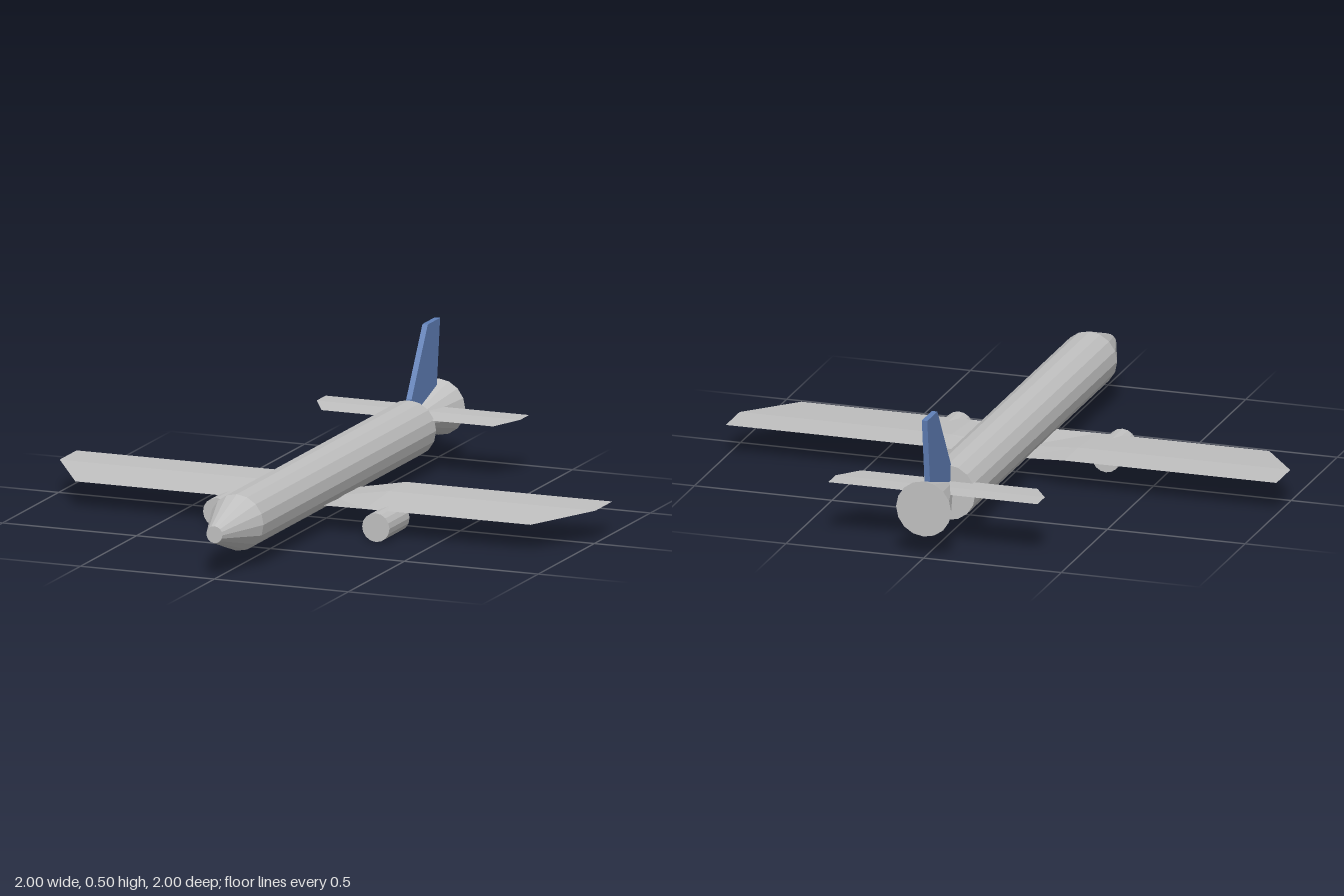
import * as THREE from 'three';

const grey = new THREE.MeshStandardMaterial({ color: 0xc0c0c0, flatShading: true });
grey.name = 'bodyGrey';
const sheetGrey = grey.clone();
sheetGrey.name = 'wingGrey';
sheetGrey.side = THREE.DoubleSide;
const blue = new THREE.MeshStandardMaterial({ color: 0x6080b8, flatShading: true });
blue.name = 'finBlue';

function named(name, geometry, material) {
  const mesh = new THREE.Mesh(geometry, material);
  mesh.name = name;
  return mesh;
}

// Round section along z, from zBack to zFront, centred on (x, y)
function tube(name, x, y, zBack, zFront, rBack, rFront, sides = 16) {
  const g = new THREE.CylinderGeometry(rFront, rBack, zFront - zBack, sides);
  g.rotateX(Math.PI / 2).translate(x, y, (zBack + zFront) / 2);
  return named(name, g, grey);
}

// Thin lifting surface: each station is [x, then z, y at leading edge, crease and trailing edge]
function wing(name, side, stations) {
  const pos = [];
  const index = [];
  for (const [x, ...zy] of stations) {
    for (let k = 0; k < 3; k++) pos.push(side * x, zy[2 * k + 1], zy[2 * k]);
  }
  for (let i = 0; i < stations.length - 1; i++) {
    for (let k = 0; k < 2; k++) {
      const a = i * 3 + k, b = a + 1, c = a + 3, d = a + 4;
      const tris = [[a, c, b], [c, d, b]];
      for (const [p, q, r] of tris) index.push(...(side > 0 ? [p, q, r] : [p, r, q]));
    }
  }
  let g = new THREE.BufferGeometry();
  g.setAttribute('position', new THREE.Float32BufferAttribute(pos, 3));
  g.setIndex(index);
  g = g.toNonIndexed();
  g.computeVertexNormals();
  return named(name, g, sheetGrey);
}

export function createModel() {
  const plane = new THREE.Group();
  plane.name = 'airplane';

  // Body, nose and flared tail cone
  plane.add(
    tube('fuselage', 0, 0.157, -0.74, 0.8, 0.1, 0.1),
    tube('nose', 0, 0.157, 0.8, 1, 0.1, 0.03),
    tube('tailCone', 0, 0.178, -1, -0.74, 0.1, 0.02),
  );

  // Wings, tailplanes and engines, mirrored
  const wingStations = [
    [0.03, 0.21, 0.096, 0.03, 0.088, -0.1, 0.086],
    [0.23, 0.21, 0.098, -0.01, 0.114, -0.16, 0.114],
    [0.85, 0.21, 0.098, -0.01, 0.114, -0.16, 0.114],
    [1, -0.01, 0.114, -0.01, 0.114, -0.16, 0.114],
  ];
  const tailStations = [
    [0, -0.72, 0.197, -0.82, 0.204, -0.9, 0.204],
    [0.32, -0.72, 0.197, -0.82, 0.204, -0.9, 0.204],
    [0.38, -0.82, 0.204, -0.82, 0.204, -0.9, 0.204],
  ];
  for (const [label, side] of [['left', 1], ['right', -1]]) {
    plane.add(
      wing(label + 'Wing', side, wingStations),
      wing(label + 'Tailplane', side, tailStations),
      tube(label + 'Engine', side * 0.297, 0.051, 0.09, 0.27, 0.051, 0.051),
    );
  }

  // Upright fin: outline in (-z, y), extruded across x
  const outline = [[0.735, 0.19], [0.95, 0.19], [0.96, 0.26], [0.99, 0.495], [0.88, 0.495], [0.735, 0.26]];
  const shape = new THREE.Shape(outline.map(([z, y]) => new THREE.Vector2(z, y)));
  const fin = new THREE.ExtrudeGeometry(shape, { depth: 0.02, bevelEnabled: false });
  fin.translate(0, 0, -0.01).rotateY(Math.PI / 2);
  plane.add(named('fin', fin, blue));

  return plane;
}
